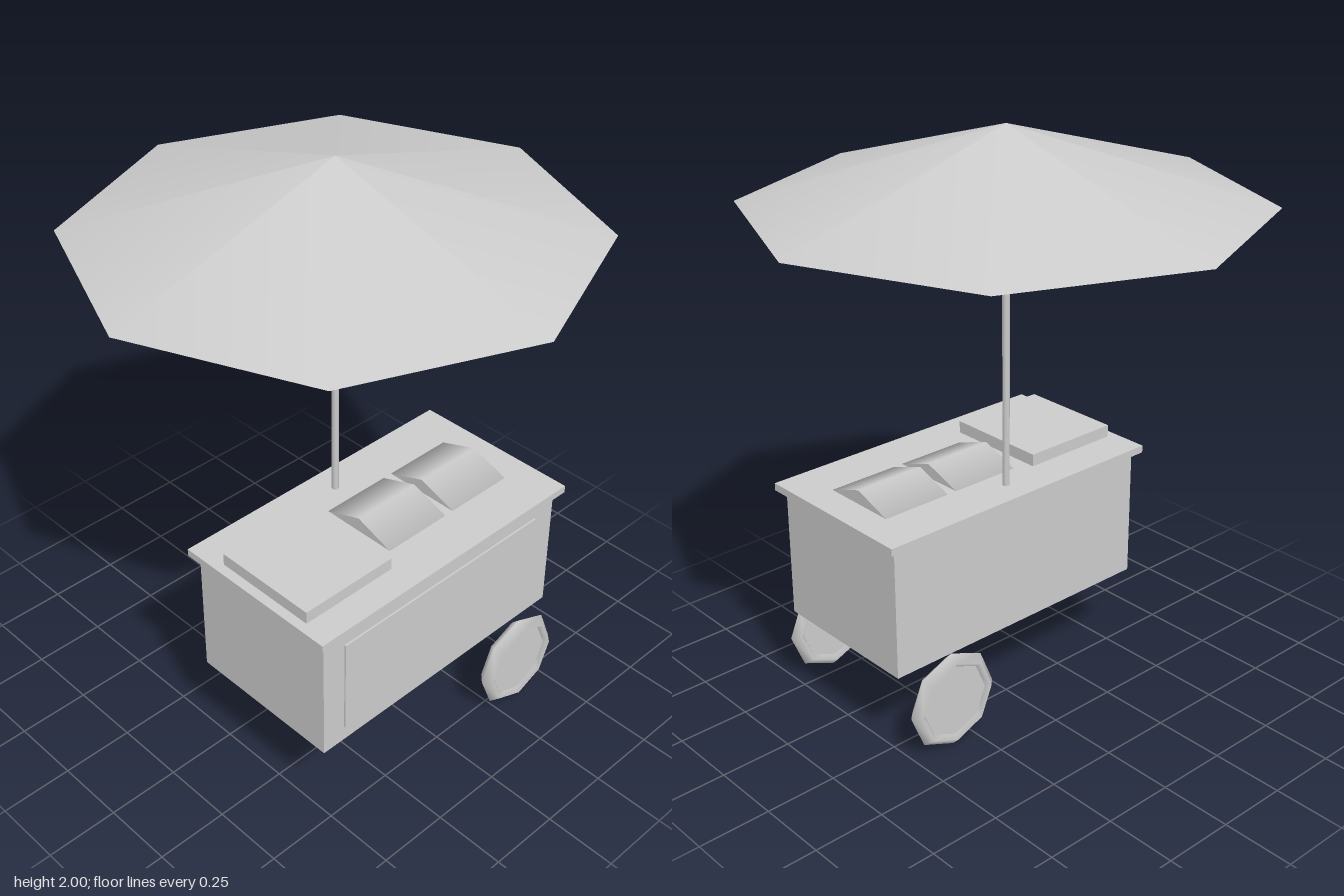
import * as THREE from 'three';

export function createModel() {
  const group = new THREE.Group();
  const grey = new THREE.MeshStandardMaterial({ color: 0xcccccc, side: THREE.DoubleSide });
  grey.name = 'light grey';

  const add = (name, geometry, x, y, z, parent = group) => {
    const mesh = new THREE.Mesh(geometry, grey);
    mesh.name = name;
    mesh.position.set(x, y, z);
    parent.add(mesh);
    return mesh;
  };
  // Box given by its lower and upper corners
  const box = (name, [x0, y0, z0], [x1, y1, z1]) =>
    add(name, new THREE.BoxGeometry(x1 - x0, y1 - y0, z1 - z0), (x0 + x1) / 2, (y0 + y1) / 2, (z0 + z1) / 2);

  // Cart body, counter and front panel
  box('body', [-0.527, 0.312, -0.068], [0.527, 0.774, 0.497]);
  box('counter', [-0.555, 0.774, -0.093], [0.555, 0.8, 0.522]);
  box('frontPanel', [-0.44, 0.367, 0.496], [0.437, 0.714, 0.503]);

  // Raised box and two ridged lids on the counter
  box('counterBox', [-0.521, 0.8, 0.042], [-0.161, 0.843, 0.418]);
  for (const x of [0.025, 0.316]) {
    const lid = new THREE.CylinderGeometry(0.14, 0.14, 0.256, 2, 1, false, 0, Math.PI);
    lid.rotateZ(Math.PI / 2); // curved half now faces up, length along x
    lid.scale(1, 0.05 / 0.14, 1);
    add('ridgedLid', lid, x, 0.8, 0.214);
  }

  // Parasol with an open underside
  add('pole', new THREE.CylinderGeometry(0.012, 0.012, 1.17, 8), 0, 1.385, 0);
  add('canopy', new THREE.ConeGeometry(0.835, 0.25, 8, 1, true), 0, 1.875, 0);

  // Pair of wheels: faceted tyre around a flat hub
  for (const z of [0.544, -0.115]) {
    const wheel = new THREE.Group();
    wheel.name = 'wheel';
    wheel.position.set(0.342, 0.176, z);
    add('tyre', new THREE.TorusGeometry(0.146, 0.028, 4, 8), 0, 0, 0, wheel);
    const hub = new THREE.CylinderGeometry(0.13, 0.13, 0.026, 8);
    hub.rotateX(Math.PI / 2);
    add('hub', hub, 0, 0, 0, wheel);
    group.add(wheel);
  }
  return group;
}
